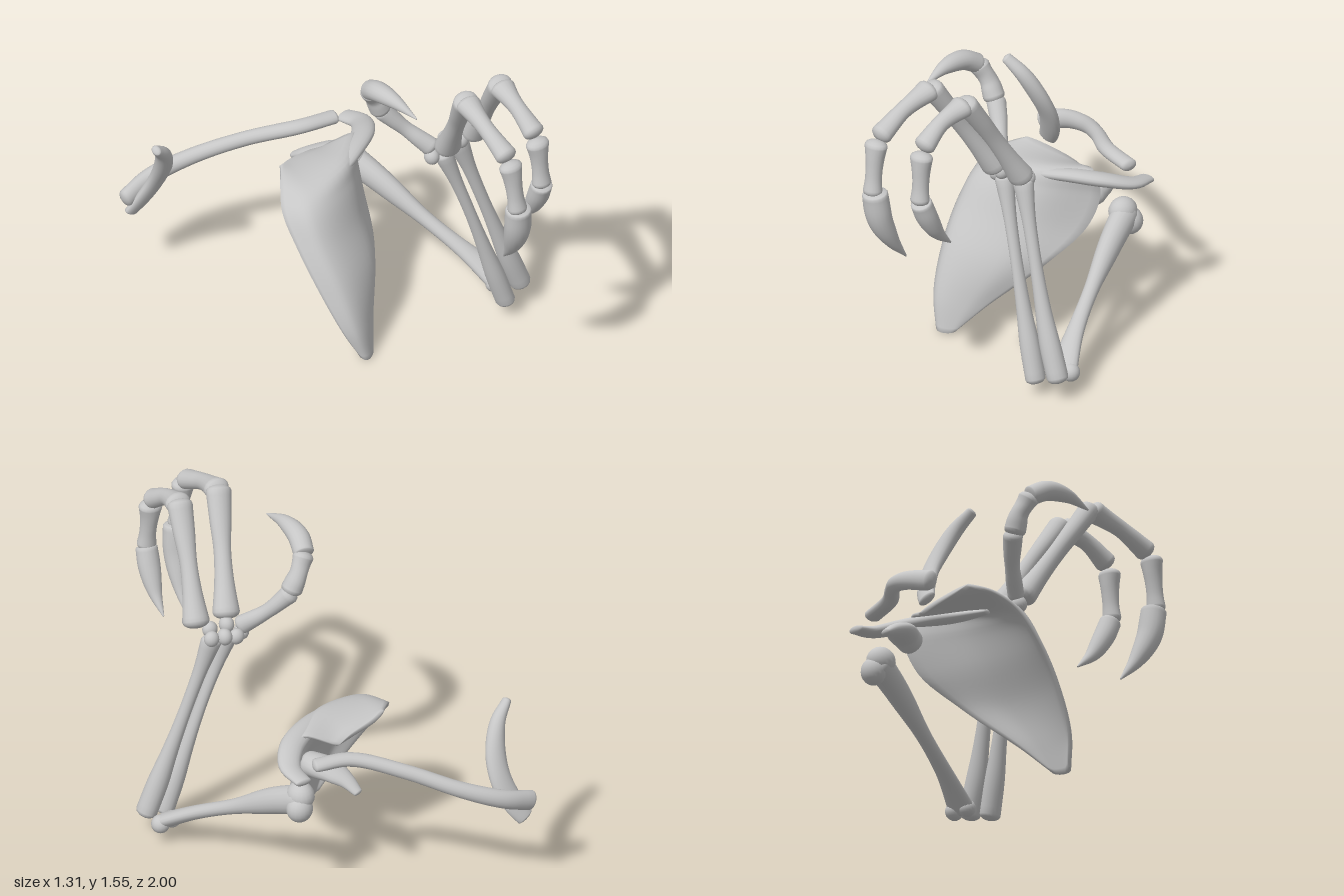
import * as THREE from 'three';

const bone = new THREE.MeshStandardMaterial({ color: 0xc6c6c6 });
bone.name = 'bone grey';
const V = (p) => new THREE.Vector3(...p);

// Joins rings of equal length into a closed smooth skin
function skin(rings) {
  const n = rings[0].length, pos = [], idx = [];
  rings.forEach((r) => r.forEach((p) => pos.push(p.x, p.y, p.z)));
  for (let i = 0; i < rings.length - 1; i++) {
    for (let j = 0; j < n; j++) {
      const a = i * n + j, b = i * n + (j + 1) % n;
      idx.push(a, b, a + n, b, b + n, a + n);
    }
  }
  const g = new THREE.BufferGeometry();
  g.setAttribute('position', new THREE.Float32BufferAttribute(pos, 3));
  g.setIndex(idx);
  g.computeVertexNormals();
  return g;
}

// Sweeps an ellipse along a curve. radii: [across, through] or a number, evenly
// spread along the path; side: the "across" direction.
function sweep(name, path, radii, side = [1, 0, 0], capDepth = 0.6) {
  const curve = new THREE.CatmullRomCurve3(path.map(V));
  const size = new THREE.CatmullRomCurve3(
    radii.map((r, i) => (Array.isArray(r) ? V([r[0], r[1], i * 0.3]) : V([r, r, i * 0.3]))));
  const rings = [], steps = 28, sides = 18, hint = V(side);
  const ring = (t, scale, push) => {
    const c = curve.getPointAt(t), d = curve.getTangentAt(t), s = size.getPoint(t);
    const u = hint.clone().addScaledVector(d, -hint.dot(d)).normalize();
    const w = new THREE.Vector3().crossVectors(d, u);
    c.addScaledVector(d, push * Math.min(s.x, s.y) * capDepth);
    rings.push(Array.from({ length: sides }, (_, k) => {
      const a = (k / sides) * Math.PI * 2;
      return c.clone().addScaledVector(u, Math.cos(a) * s.x * scale)
        .addScaledVector(w, Math.sin(a) * s.y * scale);
    }));
  };
  const caps = [1, 0.8, 0.55, 0.28].map((k) => k * Math.PI / 2);
  caps.forEach((a) => ring(0, Math.cos(a) + 0.001, -Math.sin(a)));
  for (let i = 0; i <= steps; i++) ring(i / steps, 1, 0);
  caps.reverse().forEach((a) => ring(1, Math.cos(a) + 0.001, Math.sin(a)));
  const mesh = new THREE.Mesh(skin(rings), bone);
  mesh.name = name;
  return mesh;
}

function knob(name, at, r, stretch = [1, 1, 1]) {
  const mesh = new THREE.Mesh(new THREE.SphereGeometry(r, 18, 12), bone);
  mesh.position.set(...at);
  mesh.scale.set(...stretch);
  mesh.name = name;
  return mesh;
}

// Thin dished blade; each row runs inner edge, rolled rim, flat middle, outer edge
function shoulderBlade() {
  const rows = [
    [[-0.225, 0.02, 0.2], [-0.2, 0.006, 0.208], [-0.155, 0.006, 0.185], [-0.135, 0.02, 0.165]],
    [[-0.29, 0.17, 0.14], [-0.235, 0.16, 0.18], [-0.11, 0.145, 0.125], [-0.04, 0.14, 0.06]],
    [[-0.335, 0.37, 0.02], [-0.25, 0.36, 0.095], [-0.02, 0.34, 0.02], [0.13, 0.33, -0.13]],
    [[-0.348, 0.53, -0.1], [-0.265, 0.53, -0.015], [0.0, 0.52, -0.09], [0.22, 0.48, -0.31]],
    [[-0.335, 0.65, -0.21], [-0.25, 0.665, -0.11], [0.03, 0.67, -0.17], [0.24, 0.63, -0.38]],
    [[-0.28, 0.72, -0.29], [-0.2, 0.72, -0.19], [0.03, 0.745, -0.21], [0.22, 0.745, -0.36]],
    [[-0.2, 0.76, -0.38], [-0.14, 0.74, -0.4], [0.0, 0.712, -0.42], [0.07, 0.69, -0.43]],
  ];
  const edges = [0, 1, 2, 3].map((k) => new THREE.CatmullRomCurve3(rows.map((r) => V(r[k]))));
  const clamp = (t) => THREE.MathUtils.clamp(t, 0, 1);
  const at = (u, v) =>
    new THREE.CatmullRomCurve3(edges.map((e) => e.getPoint(clamp(v)))).getPoint(clamp(u));
  const rings = [], nu = 20, nv = 40;
  for (let i = 0; i <= nv; i++) {
    const v = i / nv, front = [], back = [];
    for (let j = 0; j <= nu; j++) {
      const u = j / nu, p = at(u, v);
      const du = at(u + 0.01, v).sub(at(u - 0.01, v));
      const dv = at(u, v + 0.01).sub(at(u, v - 0.01));
      const n = du.cross(dv).normalize();
      const t = 0.013 * (0.5 + 0.5 * Math.sqrt(Math.sin(Math.PI * u) + 1e-6));
      front.push(p.clone().addScaledVector(n, t));
      back.unshift(p.clone().addScaledVector(n, -t));
    }
    rings.push([...front, ...back]);
  }
  // Close both ends by collapsing the ring onto its middle line
  const close = (r) => r.map((p, i) => p.clone().lerp(r[r.length - 1 - i], 0.5));
  const mesh = new THREE.Mesh(skin([close(rings[0]), ...rings, close(rings[nv])]), bone);
  mesh.name = 'shoulderBladePlate';
  return mesh;
}

function group(name, ...parts) {
  const g = new THREE.Group();
  g.name = name;
  g.add(...parts);
  return g;
}

// Bone of a finger: flared base, narrow shaft, wide knuckle
const fingerBone = (name, path, a, waist, b, side) =>
  sweep(name, path, [a, [waist * 1.15, waist * 1.1], waist, [b[0] * 0.85, b[1] * 0.9], b], side);

const claw = (name, path, r, side) =>
  sweep(name, path, [[r, r * 0.95], [r * 1.03, r * 0.95], [r * 0.84, r * 0.8], [r * 0.48, r * 0.46], 0.004], side, 0.25);

export function createModel() {
  const model = group('clawedForelimb');

  // Shoulder
  model.add(group('shoulderBlade',
    shoulderBlade(),
    sweep('shoulderSpine',
      [[-0.12, 0.705, -0.2], [0.02, 0.725, -0.225], [0.15, 0.732, -0.285], [0.28, 0.72, -0.37], [0.35, 0.69, -0.47], [0.345, 0.668, -0.575]],
      [[0.02, 0.012], [0.04, 0.022], [0.05, 0.03], [0.055, 0.032], [0.052, 0.027], [0.042, 0.018]], [1, 0.3, 1]),
    sweep('shoulderSocket',
      [[0.19, 0.61, -0.385], [0.175, 0.62, -0.43], [0.14, 0.612, -0.49], [0.105, 0.585, -0.56], [0.085, 0.55, -0.62]],
      [[0.06, 0.06], [0.07, 0.05], [0.062, 0.036], [0.04, 0.026], [0.024, 0.015]]),
  ));
  model.add(sweep('collarbone',
    [[0.26, 0.715, -0.548], [0.1, 0.715, -0.59], [-0.1, 0.66, -0.74], [-0.3, 0.575, -0.885], [-0.48, 0.505, -0.96], [-0.615, 0.455, -0.96]],
    [[0.04, 0.028], [0.037, 0.032], 0.034, 0.036, [0.038, 0.042], [0.036, 0.048]], [0, 0, 1]));
  model.add(sweep('breastHook',
    [[-0.635, 0.855, -0.73], [-0.565, 0.78, -0.765], [-0.52, 0.66, -0.82], [-0.515, 0.55, -0.875], [-0.55, 0.44, -0.925], [-0.59, 0.375, -0.955]],
    [[0.02, 0.026], [0.037, 0.036], [0.048, 0.036], [0.052, 0.032], [0.053, 0.028], [0.045, 0.022]], [1, 0, 0]));

  // Upper arm
  model.add(group('upperArm',
    sweep('upperArmShaft',
      [[0.3, 0.51, -0.48], [0.345, 0.445, -0.34], [0.42, 0.32, -0.12], [0.5, 0.2, 0.09], [0.565, 0.1, 0.24]],
      [[0.062, 0.07], [0.05, 0.058], [0.035, 0.035], [0.042, 0.032], [0.072, 0.036]]),
    knob('shoulderBall', [0.295, 0.525, -0.47], 0.07, [0.9, 0.95, 1]),
    knob('shoulderBump', [0.315, 0.475, -0.495], 0.065, [0.95, 1, 0.9]),
    knob('outerElbowKnob', [0.6, 0.1, 0.225], 0.043),
    knob('innerElbowKnob', [0.53, 0.095, 0.24], 0.04),
  ));

  // Forearm pair
  const forearm = [[0.044, 0.05], [0.044, 0.047], [0.034, 0.037], [0.027, 0.031], [0.026, 0.029], [0.03, 0.032], [0.046, 0.042]];
  model.add(group('forearm',
    sweep('innerForearmBone', [[0.5, 0.085, 0.35], [0.43, 0.31, 0.33], [0.33, 0.64, 0.295], [0.225, 0.965, 0.25]], forearm),
    sweep('outerForearmBone', [[0.61, 0.12, 0.325], [0.535, 0.32, 0.31], [0.43, 0.64, 0.275], [0.325, 0.975, 0.235]],
      forearm.map(([a, b]) => [a * 1.12, b])),
  ));

  // Wrist pebbles
  const pebbles = [[0.165, 0.975, 0.235], [0.215, 0.985, 0.195], [0.275, 1.0, 0.2], [0.335, 1.0, 0.215], [0.225, 1.015, 0.265], [0.31, 1.015, 0.27]];
  model.add(group('wrist', ...pebbles.map((p, i) =>
    knob('wristBone' + (i + 1), p, 0.036, i % 2 ? [1, 1.05, 0.9] : [0.95, 1.1, 1.05]))));

  // Two long fingers: palm bone, two finger bones, claw
  const head = [0.06, 0.048];
  const finger = (name, palm, first, second, tip, r) => group(name,
    fingerBone('palmBone', palm, [0.064, 0.056], 0.04, head),
    fingerBone('firstFingerBone', first, head, 0.039, [0.052, 0.046]),
    fingerBone('secondFingerBone', second, [0.057, 0.046], 0.039, [0.046, 0.042]),
    claw('claw', tip, r));
  model.add(finger('innerFinger',
    [[0.205, 1.055, 0.3], [0.135, 1.3, 0.445], [0.075, 1.51, 0.57]],
    [[0.07, 1.508, 0.595], [0.052, 1.46, 0.74], [0.047, 1.395, 0.88]],
    [[0.045, 1.35, 0.915], [0.05, 1.23, 0.935], [0.055, 1.135, 0.95]],
    [[0.065, 1.12, 0.945], [0.075, 0.99, 0.925], [0.095, 0.86, 0.865], [0.113, 0.755, 0.79]], 0.061));
  model.add(finger('outerFinger',
    [[0.365, 1.06, 0.3], [0.32, 1.3, 0.44], [0.28, 1.505, 0.57]],
    [[0.275, 1.5, 0.595], [0.26, 1.46, 0.72], [0.258, 1.395, 0.825]],
    [[0.26, 1.34, 0.85], [0.265, 1.23, 0.86], [0.268, 1.135, 0.87]],
    [[0.272, 1.115, 0.865], [0.278, 1.03, 0.83], [0.286, 0.93, 0.77], [0.292, 0.85, 0.69]], 0.051));

  // Thumb curling back and over
  model.add(group('thumb',
    fingerBone('thumbPalmBone', [[0.17, 1.02, 0.22], [0.09, 1.115, 0.13], [0.015, 1.21, 0.07]],
      [0.045, 0.038], 0.034, [0.045, 0.045], [1, 0, 1]),
    fingerBone('thumbFingerBone', [[0.0, 1.235, 0.07], [-0.03, 1.3, 0.068], [-0.07, 1.37, 0.088]],
      [0.05, 0.05], 0.042, [0.046, 0.05], [0, 0, 1]),
    claw('thumbClaw', [[-0.078, 1.385, 0.095], [-0.097, 1.425, 0.17], [-0.1, 1.436, 0.29], [-0.09, 1.41, 0.425]], 0.048),
  ));
  return model;
}
